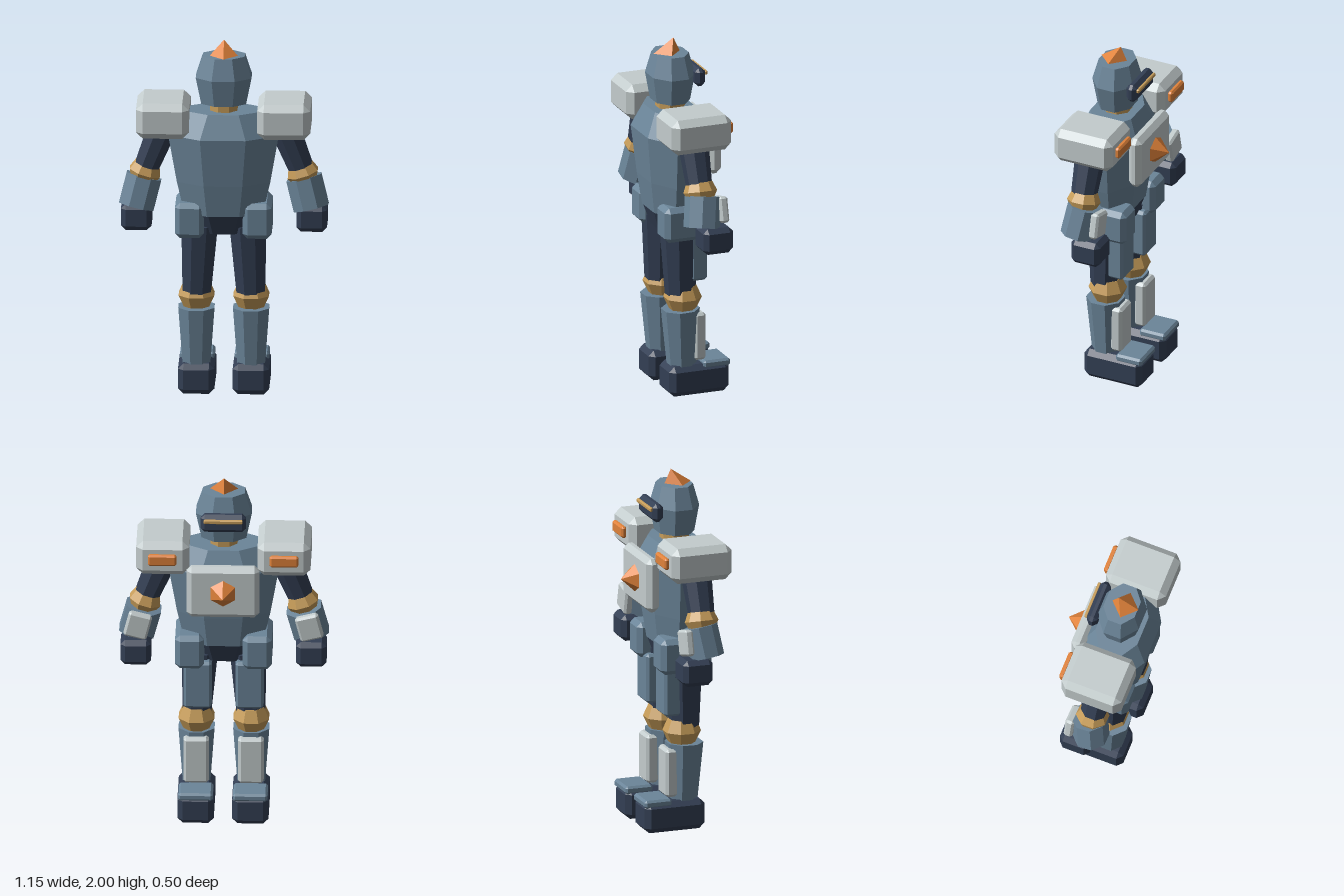
import * as THREE from 'three';
import { ConvexGeometry } from 'three/addons/geometries/ConvexGeometry.js';

const paint = (name, color) => {
  const m = new THREE.MeshStandardMaterial({ color, flatShading: true });
  m.name = name;
  return m;
};

export function createModel() {
  const slate = paint('slate armour', 0x6b8599);
  const dark = paint('dark navy', 0x333f54);
  const light = paint('light grey', 0xc3cccd);
  const gold = paint('brass', 0xc79d5a);
  const orange = paint('orange', 0xe0823a);

  const model = new THREE.Group();
  model.name = 'armouredRobot';
  const Z = 0.063; // depth of the body axis

  const add = (name, geometry, material, x = 0, y = 0, z = 0) => {
    const mesh = new THREE.Mesh(geometry, material);
    mesh.name = name;
    mesh.position.set(x, y, z);
    model.add(mesh);
    return mesh;
  };

  // Box with every edge cut by a single chamfer, given by its extents
  const block = (name, material, [x0, x1], [y0, y1], [z0, z1], c) => {
    const w = (x1 - x0) / 2, h = (y1 - y0) / 2, d = (z1 - z0) / 2;
    const points = [];
    for (const i of [-1, 1]) for (const j of [-1, 1]) for (const k of [-1, 1]) {
      points.push(
        new THREE.Vector3(i * w, j * (h - c), k * (d - c)),
        new THREE.Vector3(i * (w - c), j * h, k * (d - c)),
        new THREE.Vector3(i * (w - c), j * (h - c), k * d));
    }
    return add(name, new ConvexGeometry(points), material, (x0 + x1) / 2, (y0 + y1) / 2, (z0 + z1) / 2);
  };

  // Eight-sided turned form with flats facing front and sides; radii are to the flats
  const turned = (profile, depth = 1) => new THREE.LatheGeometry(
    profile.map(([r, y]) => new THREE.Vector2(r / Math.cos(Math.PI / 8), y)), 8, Math.PI / 8
  ).scale(1, 1, depth);

  // Tapered eight-sided limb between two points
  const up = new THREE.Vector3(0, 1, 0);
  const limb = (name, material, top, bottom, rTop, rBottom, depth = 1) => {
    const a = new THREE.Vector3(...top), b = new THREE.Vector3(...bottom);
    const h = a.distanceTo(b) / 2;
    const mid = a.clone().add(b).multiplyScalar(0.5);
    const mesh = add(name, turned([[0, -h], [rBottom, -h], [rTop, h], [0, h]], depth), material, mid.x, mid.y, mid.z);
    mesh.quaternion.setFromUnitVectors(up, a.sub(b).normalize());
    return mesh;
  };

  // Torso, pelvis and neck
  add('torso', turned([[0, 1.03], [0.215, 1.03], [0.256, 1.21], [0.303, 1.48], [0.205, 1.61], [0, 1.61]], 0.6), slate, 0, 0, Z);
  add('pelvis', turned([[0, 0.92], [0.14, 0.92], [0.2, 1.04], [0, 1.04]], 0.65), dark, 0, 0, Z);
  add('neck', turned([[0, 1.58], [0.075, 1.58], [0.075, 1.67], [0, 1.67]]), gold, 0, 0, Z);

  // Head with crest and visor
  add('head', turned([[0, 1.65], [0.123, 1.65], [0.153, 1.8], [0.115, 1.92], [0, 1.92]], 0.8), slate, 0, 0, Z);
  const crest = new THREE.ConeGeometry(0.077, 0.08, 4);
  const p = crest.attributes.position;
  for (let i = 0; i < p.count; i++) if (p.getY(i) > 0) p.setZ(i, -0.04); // lean the tip
  add('crest', crest, orange, 0, 1.96, 0.083);
  block('visor', dark, [-0.124, 0.124], [1.735, 1.84], [-0.104, -0.042], 0.022);
  block('visorStripe', gold, [-0.107, 0.107], [1.797, 1.82], [-0.119, -0.1], 0.005);

  // Chest plate with pointed core
  block('chestPlate', light, [-0.2, 0.2], [1.245, 1.55], [-0.168, -0.09], 0.028);
  add('chestCore', new THREE.ConeGeometry(0.08, 0.085, 6).rotateX(-Math.PI / 2), orange, 0, 1.4, -0.208);

  for (const s of [-1, 1]) {
    const side = s > 0 ? 'left' : 'right';
    const span = (a, b) => (s > 0 ? [a, b] : [-b, -a]);

    // Shoulder and arm
    block(side + 'ShoulderPad', light, span(0.187, 0.478), [1.475, 1.675], [-0.12, 0.233], 0.037);
    block(side + 'ShoulderLight', orange, span(0.255, 0.412), [1.55, 1.615], [-0.147, -0.115], 0.01);
    limb(side + 'UpperArm', dark, [s * 0.325, 1.53, Z], [s * 0.435, 1.25, Z], 0.08, 0.065);
    const elbow = add(side + 'Elbow',
      turned([[0, -0.06], [0.06, -0.055], [0.086, 0], [0.066, 0.052], [0, 0.056]]), gold, s * 0.433, 1.247, 0.06);
    elbow.rotation.z = s * 0.3;
    limb(side + 'Forearm', slate, [s * 0.438, 1.22, 0.045], [s * 0.48, 1.053, 0.07], 0.097, 0.097, 0.95);
    block(side + 'ForearmGuard', light, span(0.405, 0.535), [1.07, 1.215], [-0.07, -0.02], 0.012).rotation.z = s * 0.25;
    block(side + 'Hand', dark, span(0.397, 0.565), [0.912, 1.06], [-0.09, 0.085], 0.026);

    // Hip and leg
    block(side + 'HipPad', slate, span(0.106, 0.265), [0.9, 1.1], [-0.107, 0.192], 0.027);
    limb(side + 'Thigh', dark, [s * 0.132, 0.96, Z], [s * 0.148, 0.57, Z], 0.1, 0.078);
    block(side + 'ThighGuard', slate, span(0.065, 0.22), [0.65, 0.93], [-0.073, 0.025], 0.015);
    add(side + 'Knee', turned([[0, -0.075], [0.068, -0.07], [0.098, 0], [0.07, 0.068], [0, 0.074]]),
      gold, s * 0.15, 0.55, 0.05);
    limb(side + 'Shin', slate, [s * 0.15, 0.485, Z], [s * 0.15, 0.15, 0.055], 0.099, 0.075);
    block(side + 'ShinGuard', light, span(0.08, 0.22), [0.19, 0.462], [-0.065, 0.005], 0.015);
    block(side + 'Foot', dark, span(0.05, 0.25), [0, 0.172], [-0.195, 0.157], 0.03);
    block(side + 'ToeCap', slate, span(0.055, 0.245), [0.145, 0.19], [-0.198, -0.04], 0.012);
  }
  return model;
}
